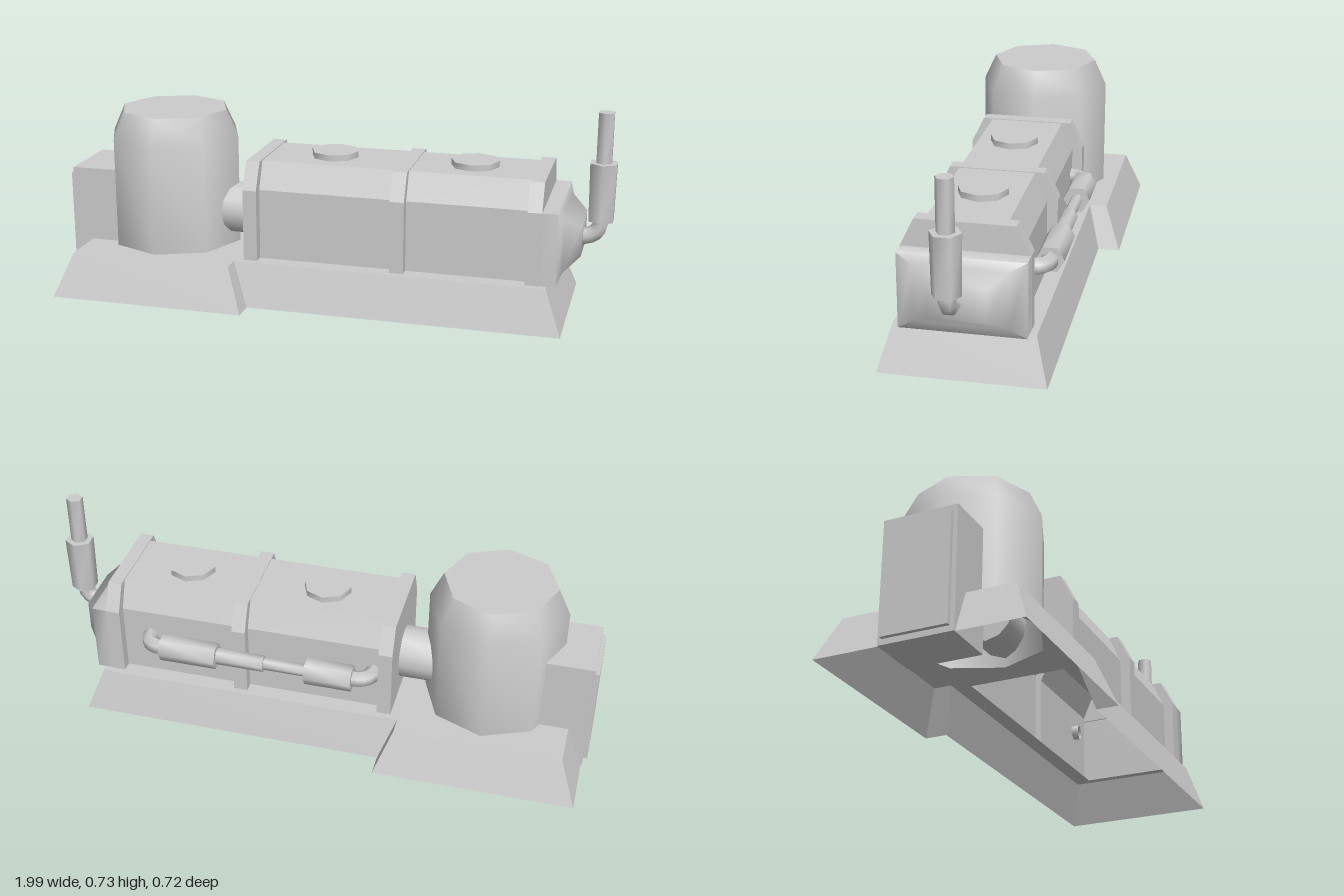
import * as THREE from 'three';
import { toCreasedNormals } from 'three/addons/utils/BufferGeometryUtils.js';

const material = new THREE.MeshStandardMaterial({ color: 0xcccccc, side: THREE.DoubleSide });

// Skin between cross-sections (arrays of [x, y, z]); caps are fans over convex ends
function loft(sections, { closed = true, capStart = false, capEnd = false } = {}) {
  const pos = [];
  const tri = (a, b, c) => pos.push(...a, ...b, ...c);
  const n = sections[0].length;
  for (let i = 0; i < sections.length - 1; i++) {
    for (let j = 0; j < (closed ? n : n - 1); j++) {
      const k = (j + 1) % n;
      const [a, b, c, d] = [sections[i][j], sections[i][k], sections[i + 1][k], sections[i + 1][j]];
      tri(a, d, c);
      tri(a, c, b);
    }
  }
  const first = sections[0], last = sections[sections.length - 1];
  for (let j = 1; j < n - 1; j++) {
    if (capStart) tri(first[0], first[j], first[j + 1]);
    if (capEnd) tri(last[0], last[j + 1], last[j]);
  }
  const geo = new THREE.BufferGeometry();
  geo.setAttribute('position', new THREE.Float32BufferAttribute(pos, 3));
  geo.computeVertexNormals();
  return geo;
}

export function createModel() {
  const model = new THREE.Group();
  const add = (name, geo, x = 0, y = 0, z = 0, parent = model) => {
    const mesh = new THREE.Mesh(geo, material);
    mesh.name = name;
    mesh.position.set(x, y, z);
    parent.add(mesh);
    return mesh;
  };
  const cyl = (rTop, rBottom, h, sides) =>
    toCreasedNormals(new THREE.CylinderGeometry(rTop, rBottom, h, sides), 1.1);
  const deckY = 0.155;

  // Sloped skirt, wider around the tank, open underneath
  const outline = (x0, x1, x2, zWide, zSlim) => [
    [x2, zSlim], [x1, zSlim], [x1, zWide], [x0, zWide],
    [x0, -zWide], [x1, -zWide], [x1, -zSlim], [x2, -zSlim],
  ];
  const foot = outline(-0.98, -0.265, 0.85, 0.36, 0.28);
  const rim = outline(-0.92, -0.325, 0.79, 0.3, 0.235);
  add('baseSkirt', loft([foot.map(([x, z]) => [x, 0, z]), rim.map(([x, z]) => [x, deckY, z])]));

  // Deck with openings below the hollow tank and housing
  const path = (pts) => pts.map(([x, z]) => new THREE.Vector2(x, -z));
  const deck = new THREE.Shape(path(rim));
  const tankX = -0.625;
  const octagon = Array.from({ length: 8 }, (_, i) => {
    const a = (i * Math.PI) / 4;
    return [tankX + 0.243 * Math.cos(a), 0.243 * Math.sin(a)];
  });
  deck.holes.push(new THREE.Path(path(octagon)));
  deck.holes.push(new THREE.Path(path([[-0.29, 0.174], [0.76, 0.174], [0.76, -0.174], [-0.29, -0.174]])));
  add('deck', new THREE.ShapeGeometry(deck).rotateX(-Math.PI / 2), 0, deckY, 0);

  // Eight-sided tank with a sloped shoulder
  const tankProfile = [[0.245, deckY], [0.245, 0.555], [0.2, 0.652], [0, 0.652]]
    .map(([r, y]) => new THREE.Vector2(r, y));
  add('tank', toCreasedNormals(new THREE.LatheGeometry(tankProfile, 8), 0.9), tankX);

  // Cabinet behind the tank, with its door
  add('cabinet', new THREE.BoxGeometry(0.185, 0.43, 0.26), -0.8925, 0.215, 0);
  add('cabinetDoor', new THREE.BoxGeometry(0.016, 0.385, 0.23), -0.992, 0.2125, 0);

  // Coupling between tank and housing
  add('coupling', cyl(0.095, 0.095, 0.24, 12).rotateZ(Math.PI / 2), -0.41, 0.285, 0);

  // Housing: chamfered shell alternating between proud ribs and recessed panels
  const profile = (x, zSide, zTop, yShoulder, yTop) => [
    [x, deckY, zSide], [x, yShoulder, zSide], [x, yTop, zTop],
    [x, yTop, -zTop], [x, yShoulder, -zSide], [x, deckY, -zSide],
  ];
  const rib = (x) => profile(x, 0.212, 0.165, 0.415, 0.511);
  const panel = (x) => profile(x, 0.175, 0.132, 0.41, 0.508);
  const housing = [
    rib(-0.295), rib(-0.245), panel(-0.245), panel(0.24),
    rib(0.24), rib(0.29), panel(0.29), panel(0.715), rib(0.715), rib(0.765),
  ];
  add('housing', loft(housing, { closed: false, capStart: true, capEnd: true }));

  // Rounded end cover bulging outwards
  const frame = (x, z, y0, y1) => [[x, y0, z], [x, y1, z], [x, y1, -z], [x, y0, -z]];
  const cover = loft([
    frame(0.76, 0.21, deckY, 0.415), frame(0.82, 0.21, deckY, 0.415),
    frame(0.835, 0.155, 0.19, 0.385), frame(0.89, 0.095, 0.235, 0.345),
  ], { capEnd: true });
  add('endCover', toCreasedNormals(cover, 1.4));

  // Filler caps on the roof
  for (const x of [-0.01, 0.5]) add('fillerCap', cyl(0.086, 0.086, 0.03, 8), x, 0.515, 0);

  // Upright exhaust at the end
  const exhaust = new THREE.Group();
  exhaust.name = 'exhaust';
  model.add(exhaust);
  const bend = (...pts) => new THREE.TubeGeometry(
    new THREE.CatmullRomCurve3(pts.map((p) => new THREE.Vector3(...p))), 8, 0.03, 6);
  add('exhaustElbow', bend([0.86, 0.285, 0.015], [0.91, 0.29, 0.015], [0.94, 0.315, 0.015], [0.947, 0.37, 0.015]),
    0, 0, 0, exhaust);
  add('exhaustMuffler', cyl(0.052, 0.048, 0.208, 6), 0.947, 0.45, 0.015, exhaust);
  add('exhaustStack', cyl(0.03, 0.03, 0.2, 6), 0.947, 0.631, 0.015, exhaust);

  // Pipe along the back with two silencers
  const backPipe = new THREE.Group();
  backPipe.name = 'backPipe';
  backPipe.position.set(0.195, 0.31, -0.233);
  model.add(backPipe);
  const along = (name, r, x0, x1) =>
    add(name, cyl(r, r, x1 - x0, 6).rotateZ(Math.PI / 2), (x0 + x1) / 2, 0, 0, backPipe);
  along('thinPipe', 0.022, -0.2, -0.03);
  along('thickPipe', 0.03, -0.03, 0.16);
  along('silencer', 0.048, -0.355, -0.185);
  along('silencer', 0.048, 0.145, 0.355);
  for (const s of [-1, 1]) {
    add('backElbow', bend([s * 0.34, 0, 0], [s * 0.38, 0, 0.003], [s * 0.41, 0, 0.025], [s * 0.42, 0, 0.08]),
      0, 0, 0, backPipe);
  }

  return model;
}
